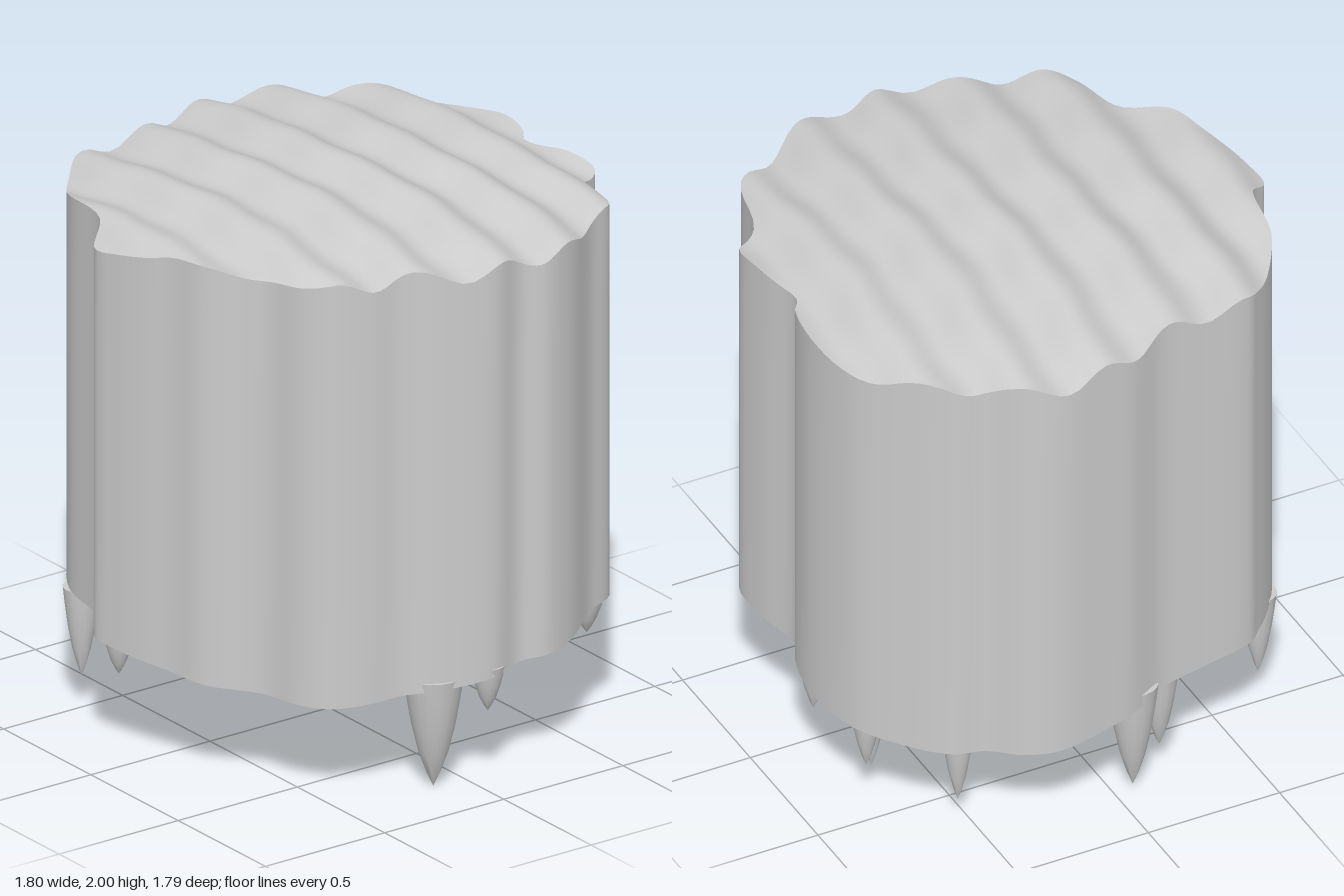
import * as THREE from 'three';
import { toCreasedNormals } from 'three/addons/utils/BufferGeometryUtils.js';

const SEG = 190; // samples around the outline

// Outline of the block seen from above, as x, z pairs
const OUTLINE = [
  0.894, -0.04, 0.845, 0.15, 0.78, 0.27, 0.76, 0.40, 0.71, 0.52, 0.63, 0.58, 0.48, 0.63,
  0.33, 0.77, 0.20, 0.81, 0.10, 0.85, -0.01, 0.88, -0.13, 0.89, -0.22, 0.80, -0.455, 0.75,
  -0.59, 0.67, -0.69, 0.58, -0.74, 0.52, -0.77, 0.32, -0.79, 0.16, -0.855, 0.02, -0.88, -0.10,
  -0.90, -0.28, -0.855, -0.40, -0.77, -0.50, -0.735, -0.61, -0.60, -0.75, -0.455, -0.85,
  -0.24, -0.895, -0.08, -0.87, -0.01, -0.83, 0.17, -0.87, 0.335, -0.87, 0.41, -0.775,
  0.65, -0.70, 0.715, -0.57, 0.845, -0.40, 0.885, -0.27, 0.86, -0.17,
];

// Icicles: x, z, tip height, base height, base radius
const ICICLES = [
  [0.76, 0.12, 0.0, 0.41, 0.105],
  [0.84, -0.05, 0.26, 0.43, 0.06],
  [-0.75, 0.07, 0.02, 0.45, 0.09],
  [-0.71, 0.19, 0.12, 0.44, 0.07],
  [-0.14, 0.78, 0.27, 0.43, 0.055],
  [-0.49, 0.68, 0.12, 0.45, 0.065],
  [-0.54, 0.63, 0.31, 0.47, 0.065],
  [-0.64, -0.54, 0.09, 0.42, 0.06],
  [-0.41, -0.77, 0.16, 0.44, 0.06],
  [-0.37, -0.73, 0.12, 0.44, 0.06],
  [0.05, -0.73, 0.18, 0.43, 0.06],
  [-0.04, -0.78, 0.16, 0.43, 0.06],
  [0.56, -0.67, 0.30, 0.48, 0.07],
];

const CENTRE = { x: 0, z: -0.04 };

// Domed top with ridges running along x
function topHeight(x, z) {
  const wobble = 0.012 * Math.sin(x * 5 + z * 3) + 0.006 * Math.sin(x * 17 - z * 9);
  const wave = Math.cos((2 * Math.PI * (z + 0.09 + wobble)) / 0.29);
  return 1.973 - 0.11 * (x * x + z * z) + 0.025 * wave;
}

// Lower rim dips and rises twice around the block
function rimHeight(x, z) {
  return 0.41 - 0.05 * Math.cos(2 * (Math.atan2(z, x) - 0.66));
}

// Joins rings of SEG points into a closed, smooth strip
function loft(ringCount, pointAt) {
  const positions = [];
  const index = [];
  for (let j = 0; j < ringCount; j++) {
    for (let i = 0; i < SEG; i++) {
      positions.push(...pointAt(i, j / (ringCount - 1)));
      if (j === ringCount - 1) continue;
      const a = j * SEG + i;
      const b = j * SEG + ((i + 1) % SEG);
      index.push(a, b + SEG, a + SEG, a, b, b + SEG);
    }
  }
  const geometry = new THREE.BufferGeometry();
  geometry.setAttribute('position', new THREE.Float32BufferAttribute(positions, 3));
  geometry.setIndex(index);
  geometry.computeVertexNormals();
  return geometry;
}

export function createModel() {
  const group = new THREE.Group();
  const stone = new THREE.MeshStandardMaterial({ color: 0xcccccc });
  stone.name = 'paleGrey';

  const add = (name, geometry) => {
    const mesh = new THREE.Mesh(geometry, stone);
    mesh.name = name;
    group.add(mesh);
    return mesh;
  };

  const corners = [];
  for (let i = 0; i < OUTLINE.length; i += 2) {
    corners.push(new THREE.Vector3(OUTLINE[i], 0, OUTLINE[i + 1]));
  }
  const edge = new THREE.CatmullRomCurve3(corners, true, 'centripetal').getPoints(SEG);
  const spoke = (i, t) => [
    CENTRE.x + (edge[i].x - CENTRE.x) * t,
    CENTRE.z + (edge[i].z - CENTRE.z) * t,
  ];

  // Rippled top
  add('rippledTop', loft(41, (i, t) => {
    const [x, z] = spoke(i, Math.max(t, 0.001));
    return [x, topHeight(x, z), z];
  }));

  // Upright wall
  add('wall', loft(5, (i, t) => {
    const { x, z } = edge[i];
    return [x, THREE.MathUtils.lerp(topHeight(x, z), rimHeight(x, z), t), z];
  }));

  // Underside sinking to a low point near the middle
  add('underside', loft(17, (i, t) => {
    const s = Math.max(1 - t, 0.001);
    const [x, z] = spoke(i, s);
    const rim = rimHeight(edge[i].x, edge[i].z);
    return [x, 0.22 + (rim - 0.22) * Math.pow(s, 1.4), z];
  }));

  // Icicles hanging around the lower rim
  const icicles = new THREE.Group();
  icicles.name = 'icicles';
  group.add(icicles);
  const taper = [[0, 0], [0.22, 0.12], [0.5, 0.32], [0.74, 0.58], [0.9, 0.82], [1, 1], [0, 1]];
  for (const [x, z, tip, base, radius] of ICICLES) {
    const profile = taper.map(([r, h]) => new THREE.Vector2(r * radius, h * (base - tip)));
    const geometry = toCreasedNormals(new THREE.LatheGeometry(profile, 16), 0.9);
    const icicle = add('icicle', geometry);
    icicle.position.set(x, tip, z);
    icicles.add(icicle);
  }

  return group;
}
